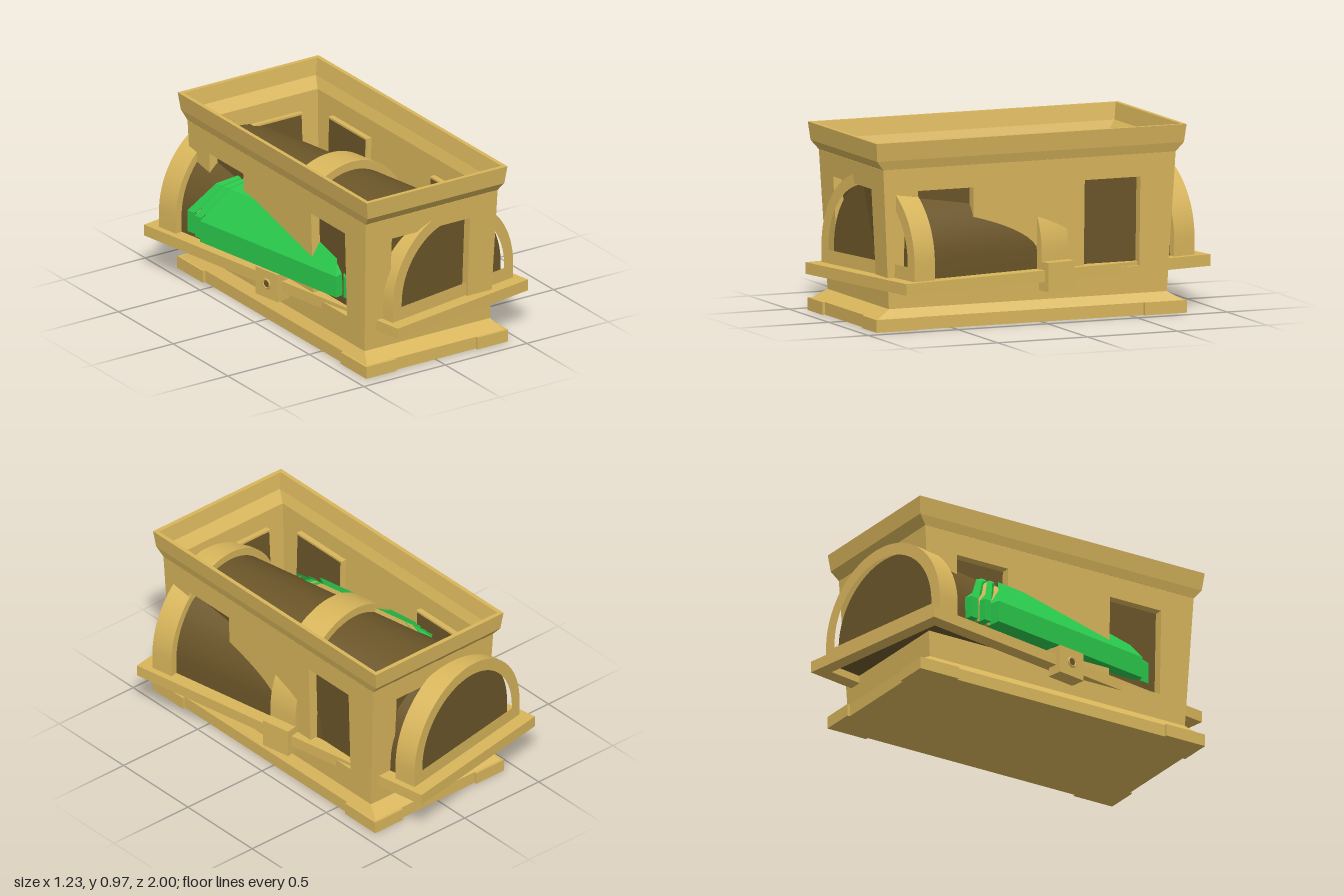
import * as THREE from 'three';
import { toCreasedNormals } from 'three/addons/utils/BufferGeometryUtils.js';

const gold = new THREE.MeshStandardMaterial({ color: 0xd9b65c });
const dark = new THREE.MeshStandardMaterial({ color: 0x6c5629 });
const green = new THREE.MeshStandardMaterial({ color: 0x2ac94c });

function add(parent, name, geometry, material = gold) {
  const mesh = new THREE.Mesh(geometry, material);
  mesh.name = name;
  parent.add(mesh);
  return mesh;
}

function box(parent, name, w, h, d, x, y, z, material) {
  const mesh = add(parent, name, new THREE.BoxGeometry(w, h, d), material);
  mesh.position.set(x, y, z);
  return mesh;
}

// Stacked rectangles, each [y, half width, half depth], joined by flat sides
function rectLoft(sections) {
  const pos = [];
  const corner = ([y, w, d], i) => [[w, y, d], [w, y, -d], [-w, y, -d], [-w, y, d]][i % 4];
  for (let s = 0; s < sections.length - 1; s++) {
    for (let i = 0; i < 4; i++) {
      const a = corner(sections[s], i), b = corner(sections[s], i + 1);
      const c = corner(sections[s + 1], i + 1), d = corner(sections[s + 1], i);
      pos.push(...a, ...b, ...c, ...a, ...c, ...d);
    }
  }
  const geo = new THREE.BufferGeometry();
  geo.setAttribute('position', new THREE.Float32BufferAttribute(pos, 3));
  geo.computeVertexNormals();
  return geo;
}

function polygon(points) {
  return new THREE.Shape(points.map(p => new THREE.Vector2(...p)));
}

function rect(x0, x1, y0, y1) {
  return polygon([[x0, y0], [x1, y0], [x1, y1], [x0, y1]]);
}

// Round arch standing on a straight base line
const ARCH_Y = 0.357;
function arch(r, base) {
  const s = new THREE.Shape();
  s.moveTo(-r, base);
  s.lineTo(-r, ARCH_Y);
  s.absarc(0, ARCH_Y, r, Math.PI, 0, true);
  s.lineTo(r, base);
  s.closePath();
  return s;
}

function extrude(shape, z0, z1, hole) {
  if (hole) shape.holes.push(hole);
  const geo = new THREE.ExtrudeGeometry(shape, { depth: z1 - z0, bevelEnabled: false, curveSegments: 24 });
  return toCreasedNormals(geo.translate(0, 0, z0), 0.5);
}

// One leaning wall with recessed, dark-backed windows; its outside faces +z
function wall(name, bottom, top, distance, lean, windows) {
  const g = new THREE.Group();
  g.name = name;
  const tilted = new THREE.Group();
  tilted.position.set(0, 0.11, distance);
  tilted.rotation.x = Math.atan2(lean, 0.72);
  g.add(tilted);
  const shape = polygon([[-bottom, 0], [bottom, 0], [top, 0.72], [-top, 0.72]]);
  const y0 = 0.14, y1 = 0.602, b = 0.02;
  for (const [x0, x1] of windows) shape.holes.push(rect(x0, x1, y0, y1));
  add(tilted, 'wallPanel', extrude(shape, -0.03, 0));
  for (const [x0, x1] of windows) {
    const frame = rect(x0 - b, x1 + b, y0 - b, y1 + b);
    add(tilted, 'windowFrame', extrude(frame, -0.06, -0.028, rect(x0, x1, y0, y1)));
    add(tilted, 'windowPane', extrude(rect(x0 - 0.01, x1 + 0.01, y0 - 0.01, y1 + 0.01), -0.062, -0.05), dark);
  }
  return g;
}

function makeChest() {
  const chest = new THREE.Group();
  chest.name = 'chestBody';
  chest.position.z = 0.06;

  // Foot with thicker corners
  add(chest, 'foot', rectLoft([
    [0, 0, 0], [0, 0.42, 0.85], [0.065, 0.42, 0.85], [0.11, 0.385, 0.775], [0.11, 0, 0]]));
  for (const sx of [-1, 1]) for (const sz of [-1, 1]) {
    box(chest, 'footCorner', 0.187, 0.065, 0.235, sx * 0.3415, 0.0325, sz * 0.7475);
  }

  // Four walls
  for (const s of [1, -1]) {
    const end = wall('endWall', 0.385, 0.405, 0.775, 0.04, [[-0.24, 0.24]]);
    end.rotation.y = s > 0 ? 0 : Math.PI;
    const side = wall('sideWall', 0.775, 0.815, 0.385, 0.02, [[-0.62, -0.31], [0.31, 0.62]]);
    side.rotation.y = s * Math.PI / 2;
    chest.add(end, side);
  }

  // Flared open rim
  add(chest, 'rim', rectLoft([
    [0.83, 0.37, 0.78], [0.83, 0.405, 0.815], [0.878, 0.419, 0.855], [0.972, 0.432, 0.865],
    [0.972, 0.41, 0.842], [0.885, 0.392, 0.828], [0.83, 0.37, 0.78]]));
  return chest;
}

// Faceted plate hugging the left shoulder of the barrel, narrowing upward
function shoulderPlate(inset, z0, z1) {
  const shape = polygon([
    [-0.48 + inset, 0.315], [-0.48 + inset, 0.43], [-0.366 + inset * 0.5, 0.605 - inset * 0.3],
    [-0.22, 0.70], [-0.2, 0.6], [-0.3, 0.45], [-0.3, 0.315]]);
  const geo = new THREE.ExtrudeGeometry(shape, { depth: 1, bevelEnabled: false });
  const p = geo.attributes.position;
  for (let i = 0; i < p.count; i++) {
    const y = p.getY(i);
    const taper = y < 0.44 ? 1 : y < 0.605
      ? THREE.MathUtils.mapLinear(y, 0.43, 0.605, 1, 0.8)
      : THREE.MathUtils.mapLinear(y, 0.605, 0.70, 0.8, 0.52);
    p.setZ(i, THREE.MathUtils.lerp(z0, z1, p.getZ(i)) * taper);
  }
  return toCreasedNormals(geo, 0.3);
}

function makeLid() {
  const lid = new THREE.Group();
  lid.name = 'barrelLid';
  lid.rotation.y = THREE.MathUtils.degToRad(10);

  // Barrel, middle band and end arches
  add(lid, 'barrel', extrude(arch(0.385, 0.25), -0.81, 0.81), dark);
  add(lid, 'middleBand', extrude(arch(0.43, 0.25), -0.082, 0.082, arch(0.37, 0.26)));
  for (const [z0, z1] of [[0.735, 0.86], [-0.86, -0.735]]) {
    add(lid, 'endArch', extrude(arch(0.425, 0.26), z0, z1, arch(0.362, 0.34)));
  }

  // Rectangular frame under the barrel and a clasp on each side
  for (const s of [-1, 1]) {
    box(lid, 'frameSide', 0.075, 0.06, 1.866, s * 0.4225, 0.24, 0);
    box(lid, 'frameEnd', 0.77, 0.06, 0.075, 0, 0.24, s * 0.8955);
    box(lid, 'clasp', 0.085, 0.15, 0.164, s * 0.4475, 0.237, 0);
  }

  // Keyhole on the left-hand clasp
  const ring = add(lid, 'keyholeRing', new THREE.TorusGeometry(0.024, 0.006, 6, 16));
  const hole = add(lid, 'keyhole', new THREE.CircleGeometry(0.022, 16), dark);
  ring.position.set(-0.491, 0.24, 0);
  hole.position.set(-0.492, 0.24, 0);
  ring.rotation.y = hole.rotation.y = -Math.PI / 2;

  // Green shoulder plate with two ribs at each end over a backing
  add(lid, 'plateBacking', shoulderPlate(0.068, -0.62, 0.62));
  add(lid, 'mainPlate', shoulderPlate(0, -0.5, 0.5), green);
  for (const [inset, a, b] of [[0.03, 0.525, 0.57], [0.05, 0.595, 0.645]]) {
    add(lid, 'plateRib', shoulderPlate(inset, a, b), green);
    add(lid, 'plateRib', shoulderPlate(inset, -b, -a), green);
  }
  return lid;
}

export function createModel() {
  const model = new THREE.Group();
  model.name = 'chest';
  model.add(makeChest(), makeLid());
  return model;
}
